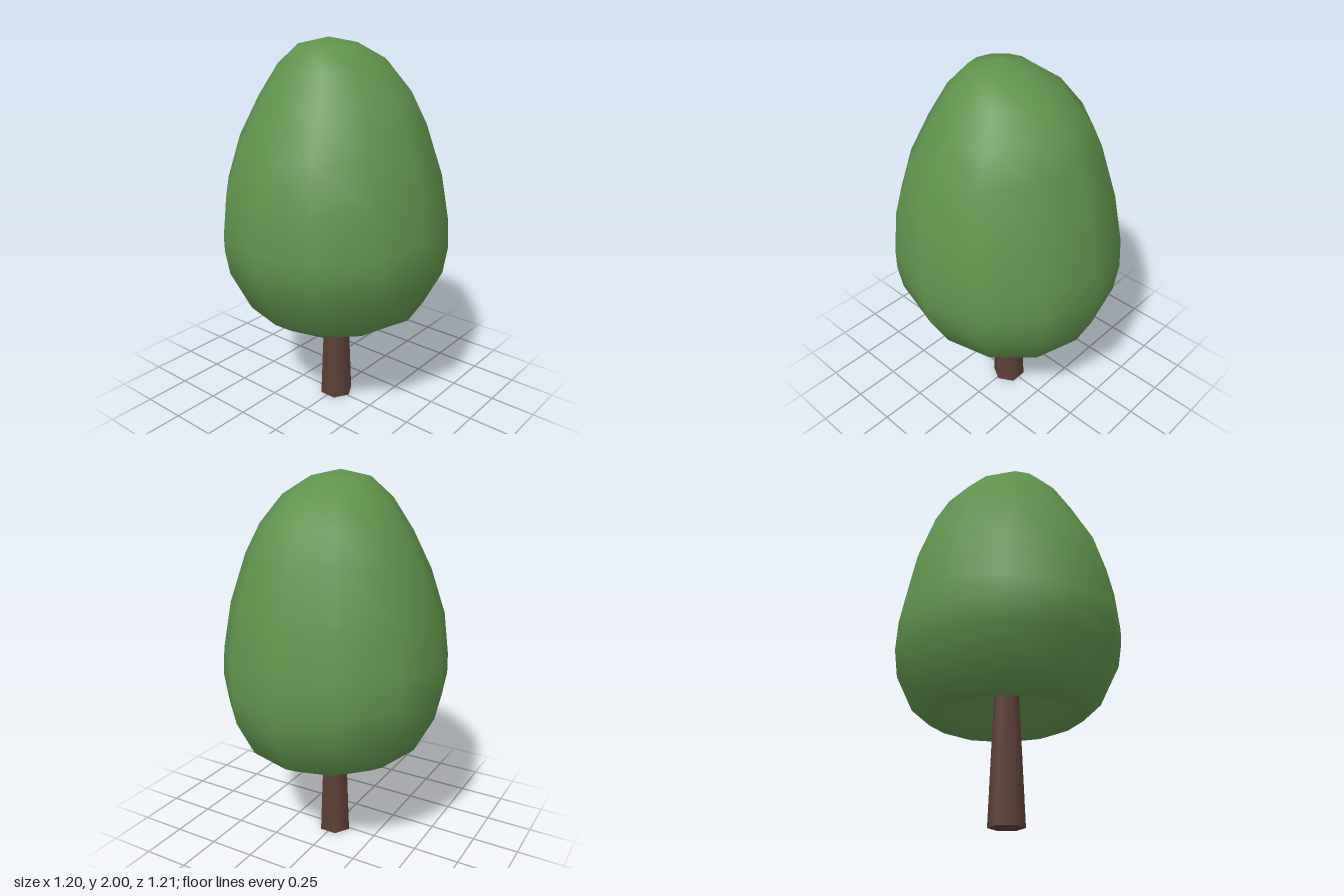
import * as THREE from 'three';

const leafGreen = new THREE.MeshStandardMaterial({ name: 'leafGreen', color: 0x5f934c });
const barkBrown = new THREE.MeshStandardMaterial({ name: 'barkBrown', color: 0x5d4037 });

// Crown cross-sections, top to bottom: [front z, front y, back z, back y, half width]
const rings = [
  [0.2, 1.965, -0.1, 1.97, 0.15],
  [0.3, 1.86, -0.26, 1.89, 0.275],
  [0.4, 1.69, -0.38, 1.76, 0.385],
  [0.52, 1.46, -0.455, 1.63, 0.475],
  [0.585, 1.24, -0.54, 1.36, 0.56],
  [0.605, 1.03, -0.595, 1.1, 0.595],
  [0.6, 0.95, -0.605, 0.93, 0.6],
  [0.58, 0.83, -0.585, 0.77, 0.577],
  [0.475, 0.615, -0.5, 0.59, 0.475],
  [0.37, 0.54, -0.4, 0.53, 0.37],
  // hollow underside
  [0.29, 0.64, -0.31, 0.63, 0.3],
  [0.16, 0.76, -0.18, 0.75, 0.17],
];
const SIDES = 12;

function crownGeometry() {
  const points = [0, 2, 0.05]; // top pole
  for (const [zf, yf, zb, yb, w] of rings) {
    for (let i = 0; i < SIDES; i++) {
      const a = (i / SIDES) * Math.PI * 2;
      const s = Math.sin(a);
      points.push(
        w * Math.cos(a),
        (yf + yb) / 2 + ((yf - yb) / 2) * s,
        (zf + zb) / 2 + ((zf - zb) / 2) * s
      );
    }
  }
  points.push(0, 0.8, -0.01); // pole of the hollow
  const last = points.length / 3 - 1;

  const at = (ring, i) => 1 + ring * SIDES + (i % SIDES);
  const faces = [];
  for (let i = 0; i < SIDES; i++) {
    faces.push(0, at(0, i + 1), at(0, i));
    for (let r = 0; r < rings.length - 1; r++) {
      const a = at(r, i), b = at(r, i + 1), c = at(r + 1, i), d = at(r + 1, i + 1);
      faces.push(a, b, c, b, d, c);
    }
    faces.push(last, at(rings.length - 1, i), at(rings.length - 1, i + 1));
  }

  const geometry = new THREE.BufferGeometry();
  geometry.setAttribute('position', new THREE.Float32BufferAttribute(points, 3));
  geometry.setIndex(faces);
  geometry.computeVertexNormals();
  return geometry;
}

export function createModel() {
  const tree = new THREE.Group();
  tree.name = 'tree';

  const crown = new THREE.Mesh(crownGeometry(), leafGreen);
  crown.name = 'crown';

  // Tapered six-sided trunk reaching into the hollow of the crown
  const height = 0.85;
  const trunk = new THREE.Mesh(
    new THREE.CylinderGeometry(0.057, 0.093, height, 6, 1, false, Math.PI / 2),
    barkBrown
  );
  trunk.name = 'trunk';
  trunk.position.set(0, height / 2, -0.01);

  tree.add(crown, trunk);
  return tree;
}
